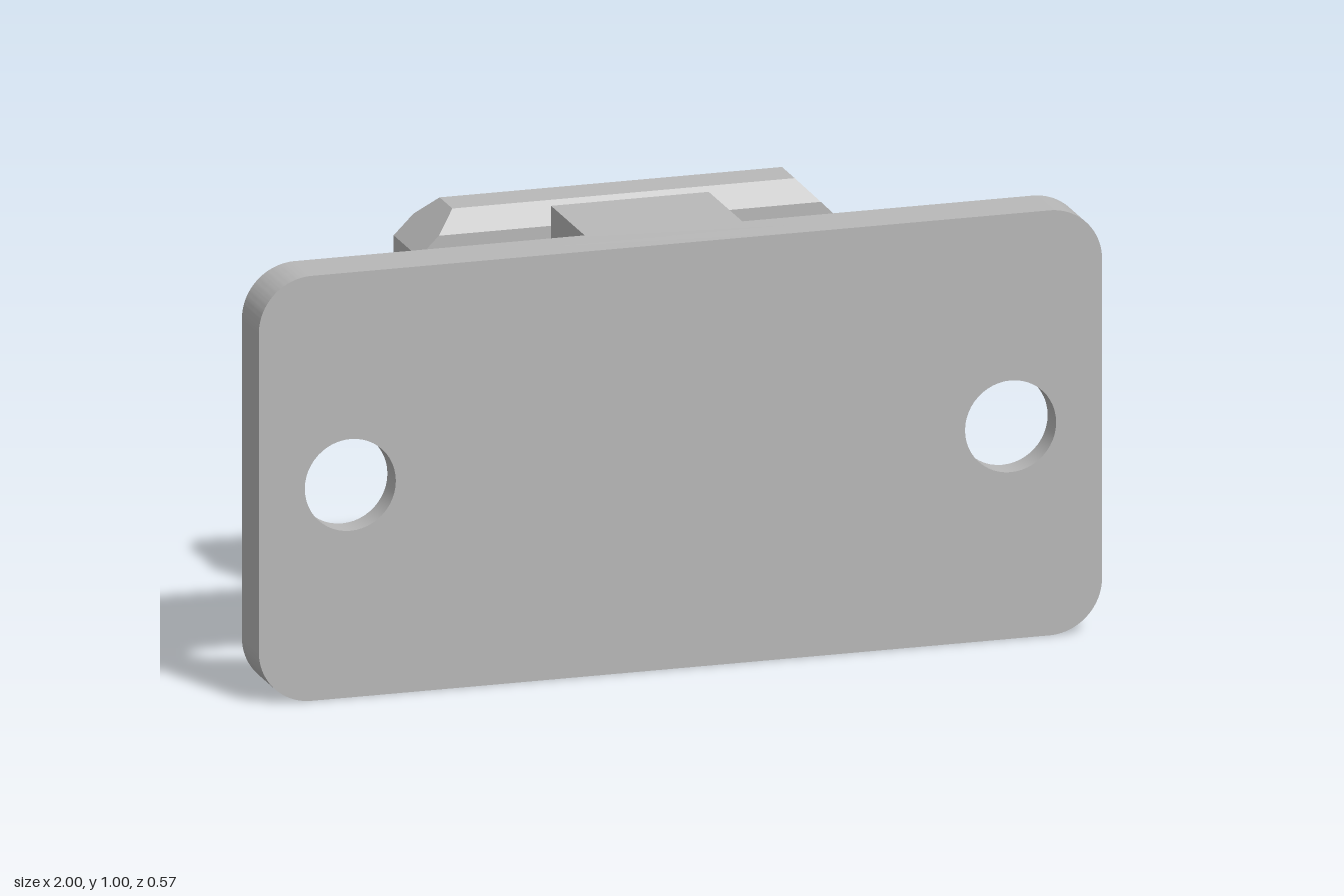
import * as THREE from 'three';
import { toCreasedNormals } from 'three/addons/utils/BufferGeometryUtils.js';
import { ConvexGeometry } from 'three/addons/geometries/ConvexGeometry.js';

const FRONT = 0.283, SEAT = 0.22, BACK = 0.157, HEAD = -0.094;

// Rounded 2 x 1 plate layer between two depths, with a pair of screw holes
function plateLayer(zBack, zFront, holeRadius) {
  const r = 0.125;
  const shape = new THREE.Shape();
  shape.absarc(1 - r, r, r, -Math.PI / 2, 0);
  shape.absarc(1 - r, 1 - r, r, 0, Math.PI / 2);
  shape.absarc(-1 + r, 1 - r, r, Math.PI / 2, Math.PI);
  shape.absarc(-1 + r, r, r, Math.PI, Math.PI * 1.5);
  for (const side of [-1, 1]) {
    shape.holes.push(new THREE.Path().absarc(side * 0.783, 0.5, holeRadius, 0, Math.PI * 2, true));
  }
  const geometry = new THREE.ExtrudeGeometry(shape, { depth: zFront - zBack, bevelEnabled: false, curveSegments: 24 });
  geometry.translate(0, 0, zBack);
  return toCreasedNormals(geometry, 0.6);
}

// Block with cut corners, and bevelled front and back edges at top and bottom
function headGeometry() {
  const cut = 0.094, bevel = 0.047, points = [];
  const layers = [[-FRONT, bevel], [-FRONT + bevel, 0], [HEAD - bevel, 0], [HEAD, bevel]];
  for (const [z, inset] of layers) {
    for (const sx of [-1, 1]) {
      for (const sy of [-1, 1]) {
        points.push(new THREE.Vector3(sx * 0.5, 0.5 + sy * (0.5 - cut), z));
        points.push(new THREE.Vector3(sx * (0.5 - cut + inset), 0.5 + sy * (0.5 - inset), z));
      }
    }
  }
  return new ConvexGeometry(points);
}

export function createModel() {
  const grey = new THREE.MeshStandardMaterial({ color: 0xb8b8b8 });
  grey.name = 'plain grey';
  const model = new THREE.Group();
  model.name = 'mountingBracket';

  const add = (name, geometry) => {
    const mesh = new THREE.Mesh(geometry, grey);
    mesh.name = name;
    model.add(mesh);
  };

  // Plate: through holes in front, wider counterbores behind
  add('plateFront', plateLayer(SEAT, FRONT, 0.108));
  add('plateCounterbored', plateLayer(BACK, SEAT, 0.19));

  // Stem joining the plate to the head
  const stem = new THREE.BoxGeometry(0.374, 1, BACK - HEAD);
  stem.translate(0, 0.5, (BACK + HEAD) / 2);
  add('stem', stem);

  add('head', headGeometry());
  return model;
}
